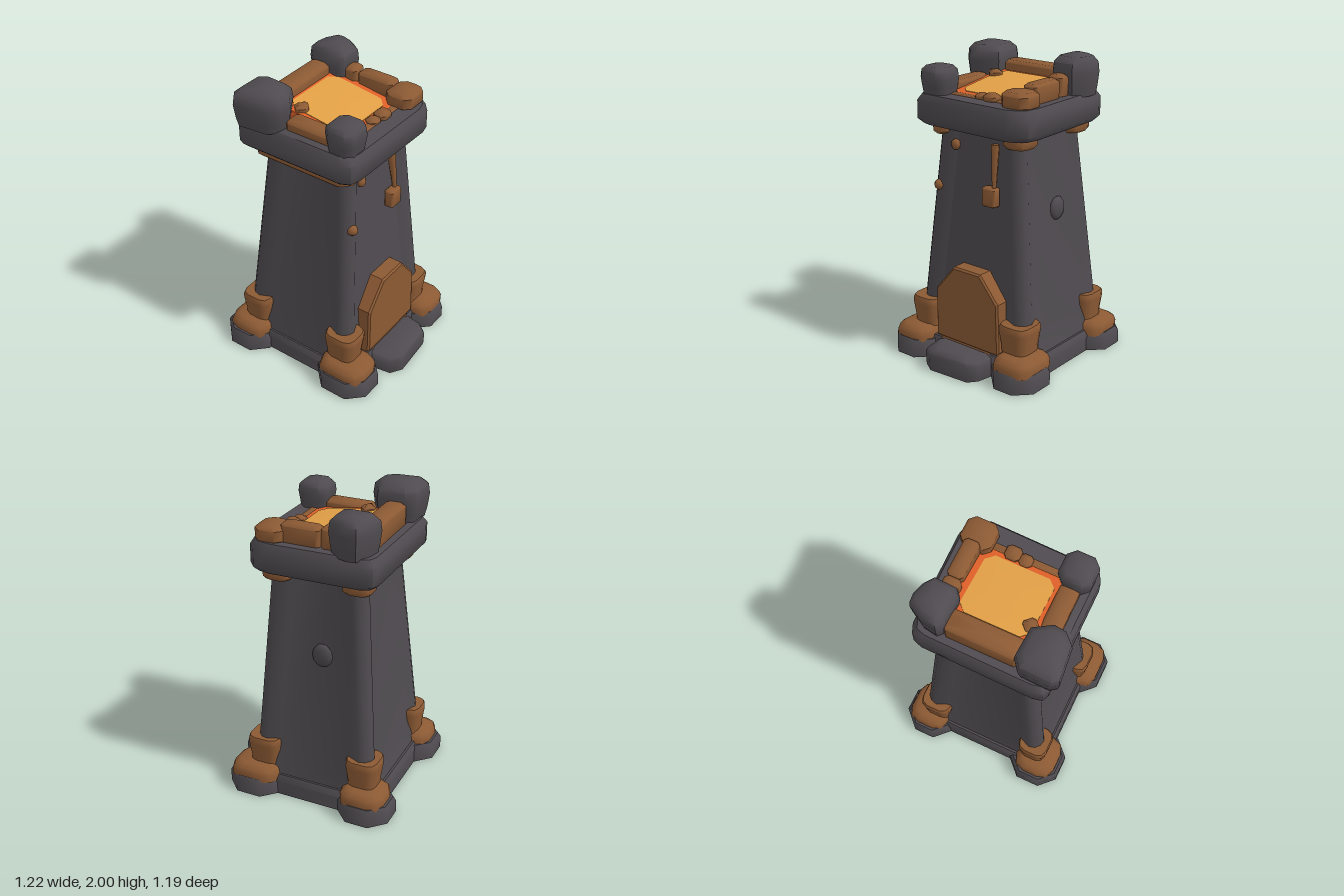
import * as THREE from 'three';
import { toCreasedNormals } from 'three/addons/utils/BufferGeometryUtils.js';

const paint = (name, color) => Object.assign(new THREE.MeshStandardMaterial({ color }), { name });

// Chamfered rectangle in the ground plane; n segments per corner.
// With a margin, each side between the corners is set back by depth.
function rect(x0, x1, z0, z1, c, n = 1, margin = 0, depth = 0) {
  const pts = [], corners = [[x1, z1], [x0, z1], [x0, z0], [x1, z0]];
  const turn = (k) => [Math.cos(k * Math.PI / 2), Math.sin(k * Math.PI / 2)];
  corners.forEach(([x, z], k) => {
    const cx = x + (x === x0 ? c : -c), cz = z + (z === z0 ? c : -c);
    for (let i = 0; i <= n; i++) {
      const [dx, dz] = turn(k + i / n);
      pts.push([cx + c * dx, cz + c * dz]);
    }
    if (!margin) return;
    const next = corners[(k + 1) % 4], out = turn(k + 1), along = turn(k + 2);
    pts.push([x + along[0] * margin - out[0] * depth, z + along[1] * margin - out[1] * depth]);
    pts.push([next[0] - along[0] * margin - out[0] * depth, next[1] - along[1] * margin - out[1] * depth]);
  });
  return pts;
}

// Skin through rings of [x, y, z] points, with fan caps; one side may be left open
function loft(rings, open = -1, caps = true) {
  const n = rings[0].length, pos = rings.flat(2), idx = [];
  for (let r = 0; r < rings.length - 1; r++) {
    for (let i = 0; i < n; i++) {
      if (i === open) continue;
      const a = r * n + i, b = r * n + (i + 1) % n;
      idx.push(a, a + n, b, b, a + n, b + n);
    }
  }
  if (caps) {
    [0, rings.length - 1].forEach((r, top) => {
      const centre = pos.length / 3;
      for (let k = 0; k < 3; k++) pos.push(rings[r].reduce((s, p) => s + p[k], 0) / n);
      for (let i = 0; i < n; i++) {
        const a = r * n + i, b = r * n + (i + 1) % n;
        idx.push(centre, top ? b : a, top ? a : b);
      }
    });
  }
  const g = new THREE.BufferGeometry();
  g.setAttribute('position', new THREE.Float32BufferAttribute(pos, 3));
  g.setIndex(idx);
  return toCreasedNormals(g, 0.95);
}

const lift = (pts, y) => pts.map(([x, z]) => [x, y, z]);

// Outline repeated at levels of [height, scale]
function stack(pts, levels) {
  const cx = pts.reduce((s, p) => s + p[0], 0) / pts.length;
  const cz = pts.reduce((s, p) => s + p[1], 0) / pts.length;
  return loft(levels.map(([y, s]) => lift(pts.map(([x, z]) => [cx + (x - cx) * s, cz + (z - cz) * s]), y)));
}

export function createModel() {
  const model = new THREE.Group();
  const stone = paint('darkStone', 0x4f4b50), wood = paint('wood', 0x8c5a34);
  const ember = paint('ember', 0xdf6029), glow = paint('glow', 0xe2a046);
  const add = (name, geo, mat) => {
    const m = new THREE.Mesh(geo, mat);
    m.name = name;
    model.add(m);
    return m;
  };
  // Box with bevelled top and bottom edges
  const block = (name, mat, x0, x1, z0, z1, y0, y1, c = 0.02, b = 0.018) => add(name,
    loft([[y0, b], [y0 + b, 0], [y1 - b, 0], [y1, b]].map(([y, i]) => lift(rect(x0 + i, x1 - i, z0 + i, z1 - i, c), y))), mat);

  // Base slab and door step
  add('baseSlab', stack(rect(-0.51, 0.43, -0.5, 0.48, 0.08), [[0, 1], [0.1, 1], [0.14, 0.955]]), stone);
  add('doorStep', stack([[0.37, -0.25], [0.53, -0.22], [0.59, -0.17], [0.612, 0.13], [0.56, 0.21], [0.37, 0.24]],
    [[0, 0.98], [0.02, 1], [0.1, 1], [0.125, 0.93], [0.147, 0.62]]), stone);

  // Corner feet: stone pad, wooden plinth and wooden post: [x0, x1, z0, z1] each
  const feet = [
    [[-0.61, -0.25, 0.23, 0.595], [-0.575, -0.27, 0.27, 0.56], [-0.505, -0.285, 0.27, 0.48]],
    [[-0.61, -0.255, -0.595, -0.25], [-0.575, -0.27, -0.57, -0.28], [-0.505, -0.285, -0.485, -0.265]],
    [[0.16, 0.55, 0.235, 0.58], [0.18, 0.525, 0.27, 0.55], [0.19, 0.42, 0.27, 0.48]],
    [[0.17, 0.54, -0.59, -0.25], [0.18, 0.52, -0.57, -0.28], [0.19, 0.42, -0.485, -0.265]],
  ];
  for (const [pad, plinth, post] of feet) {
    add('cornerPad', stack(rect(...pad, 0.1), [[0, 1], [0.085, 1], [0.118, 0.89]]), stone);
    add('cornerPlinth', stack(rect(...plinth, 0.09, 2), [[0.1, 1], [0.14, 1], [0.175, 0.92], [0.195, 0.7]]), wood);
    add('cornerPost', stack(rect(...post, 0.06, 2), [[0.16, 0.86], [0.23, 0.88], [0.33, 1], [0.36, 1], [0.378, 0.93]]), wood);
  }

  // Tapering tower with bulging corners and set-back walls; the right wall is a panel with a door opening
  const margin = 0.16, inset = 0.035;
  const bounds = (y) => [-0.4925 + 0.085 * y, 0.3843 - 0.0627 * y, -0.484 + 0.0893 * y, 0.4668 - 0.098 * y];
  const wallX = (y) => bounds(y)[1] - inset;
  const rings = [[0.1, 0], [0.3, inset], [1.6, inset]].map(([y, d]) => lift(rect(...bounds(y), 0.08, 3, margin, d), y));
  add('towerWalls', loft(rings, 22, false), stone);

  // Door outlines run in (-z, y)
  const outer = [[0.282, 0.145], [0.272, 0.5], [0.13, 0.672], [-0.09, 0.672], [-0.245, 0.49], [-0.25, 0.145]];
  const inner = [[0.205, 0.148], [0.208, 0.46], [0.1, 0.605], [-0.07, 0.605], [-0.19, 0.45], [-0.19, 0.148]];
  const fire = [[0.2, 0.155], [0.2, 0.37], [0.14, 0.49], [0.06, 0.555], [-0.05, 0.555], [-0.12, 0.5], [-0.183, 0.4], [-0.183, 0.155]];
  const shape = (pts) => new THREE.Shape(pts.map((p) => new THREE.Vector2(...p)));
  const ringShape = (a, b) => {
    const s = shape(a);
    s.holes.push(shape(b));
    return s;
  };
  const low = bounds(0.1), high = bounds(1.6);
  const wall = new THREE.ShapeGeometry(ringShape([[-low[3] + margin, 0.1], [-low[2] - margin, 0.1],
    [-high[2] - margin, 1.6], [-high[3] + margin, 1.6]], inner)).rotateY(Math.PI / 2);
  const wp = wall.attributes.position;
  for (let i = 0; i < wp.count; i++) wp.setX(i, wallX(wp.getY(i)));
  wall.computeVertexNormals();
  add('doorWall', wall, stone);

  const extrude = (s, depth, x, bevel = 0) => new THREE.ExtrudeGeometry(s, {
    depth, bevelEnabled: bevel > 0, bevelSize: bevel, bevelThickness: bevel, bevelOffset: -bevel, bevelSegments: 1,
  }).rotateY(Math.PI / 2).translate(x, 0, 0);
  add('doorFrame', extrude(ringShape(outer, inner), 0.1, 0.3, 0.012), wood);
  add('doorLining', extrude(ringShape(outer, inner), 0.08, 0.22), ember);
  add('doorGlowEdge', extrude(shape(inner), 0.01, 0.215), ember);
  add('doorGlow', extrude(shape(fire), 0.008, 0.222), glow);
  add('doorFloor', new THREE.BoxGeometry(0.16, 0.008, 0.38).translate(0.3, 0.15, -0.008), glow);

  // Wooden band and brackets under the parapet
  block('frontBand', wood, -0.415, 0.32, 0.2, 0.38, 1.503, 1.572, 0.06);
  for (const x of [-0.315, 0.225]) {
    add('bracket', stack(rect(x - 0.097, x + 0.097, -0.4, -0.22, 0.06, 2),
      [[1.503, 0.85], [1.52, 1], [1.56, 1], [1.58, 0.95]]), wood);
  }

  // Parapet and the sloping fire bed
  add('parapet', stack([[0.39, 0.34], [0.37, 0.41], [0.31, 0.44], [-0.42, 0.44], [-0.465, 0.42], [-0.478, 0.36],
    [-0.47, -0.37], [-0.45, -0.43], [-0.39, -0.455], [0.24, -0.468], [0.33, -0.45], [0.385, -0.385], [0.402, -0.32]],
  [[1.568, 0.93], [1.6, 1], [1.72, 1], [1.765, 0.94]]), stone);
  const beds = [
    add('fireBedEdge', stack(rect(-0.27, 0.225, -0.29, 0.25, 0.02), [[-0.06, 1], [0, 1]]), ember),
    add('fireBed', stack(rect(-0.245, 0.185, -0.24, 0.215, 0.05), [[-0.02, 1], [0.004, 1], [0.009, 0.5]]), glow),
  ];
  for (const m of beds) {
    m.position.y = 1.802;
    m.rotation.z = -0.14;
  }

  // Beams between the crown stones
  block('leftBeam', wood, -0.4, -0.26, -0.25, 0.22, 1.75, 1.905);
  block('backBeam', wood, -0.08, 0.18, -0.385, -0.28, 1.75, 1.888);
  block('backBeamEnd', wood, -0.18, -0.085, -0.38, -0.27, 1.75, 1.9);
  block('frontBeam', wood, -0.15, 0.18, 0.24, 0.365, 1.75, 1.83);
  block('rightCurb', wood, 0.215, 0.265, -0.24, 0.24, 1.75, 1.774, 0.01, 0.006);
  block('rightRubble', wood, 0.195, 0.285, -0.15, -0.05, 1.75, 1.81);
  block('rightRubble', wood, 0.19, 0.27, -0.055, 0.03, 1.75, 1.8);
  block('fireRubble', wood, -0.195, -0.105, 0.145, 0.245, 1.78, 1.86, 0.035);

  // Crown corners
  const crown = (name, pts, top) => add(name, stack(pts, [[1.75, 0.85], [1.81, 0.93],
    [1.75 + (top - 1.75) * 0.6, 1], [1.75 + (top - 1.75) * 0.85, 0.95], [top, 0.7]]), stone);
  crown('frontLeftStone', [[-0.125, 0.33], [-0.135, 0.41], [-0.2, 0.475], [-0.43, 0.5], [-0.46, 0.46],
    [-0.455, 0.25], [-0.39, 0.2], [-0.2, 0.21]], 2);
  crown('backLeftStone', [[-0.16, -0.26], [-0.2, -0.23], [-0.4, -0.235], [-0.437, -0.27],
    [-0.42, -0.37], [-0.36, -0.475], [-0.3, -0.48], [-0.22, -0.455], [-0.155, -0.41]], 2);
  crown('frontRightStone', rect(0.155, 0.372, 0.2, 0.42, 0.05), 1.935);
  block('backRightBlock', wood, 0.155, 0.345, -0.43, -0.225, 1.75, 1.86, 0.04, 0.022);

  // Small stones on the walls
  const pebble = (name, mat, pos, size) => {
    const m = add(name, new THREE.SphereGeometry(1, 9, 6), mat);
    m.position.set(...pos);
    m.scale.set(...size);
  };
  pebble('wallPebble', wood, [wallX(1.45) + 0.02, 1.45, 0.17], [0.028, 0.036, 0.033]);
  pebble('wallPebble', wood, [0.3, 1.165, 0.295], [0.04, 0.036, 0.036]);
  pebble('backWallStone', stone, [-0.09, 1.04, -0.36], [0.07, 0.08, 0.03]);

  // Hanging hammer-like fitting on the right wall
  const rod = add('hangerRod', new THREE.CylinderGeometry(0.028, 0.014, 0.29, 6), wood);
  rod.position.set(0.292, 1.36, -0.16);
  rod.rotation.set(0.04, 0, 0.1);
  block('hangerBlock', wood, 0.275, 0.343, -0.195, -0.088, 1.11, 1.235, 0.012, 0.01);
  return model;
}
